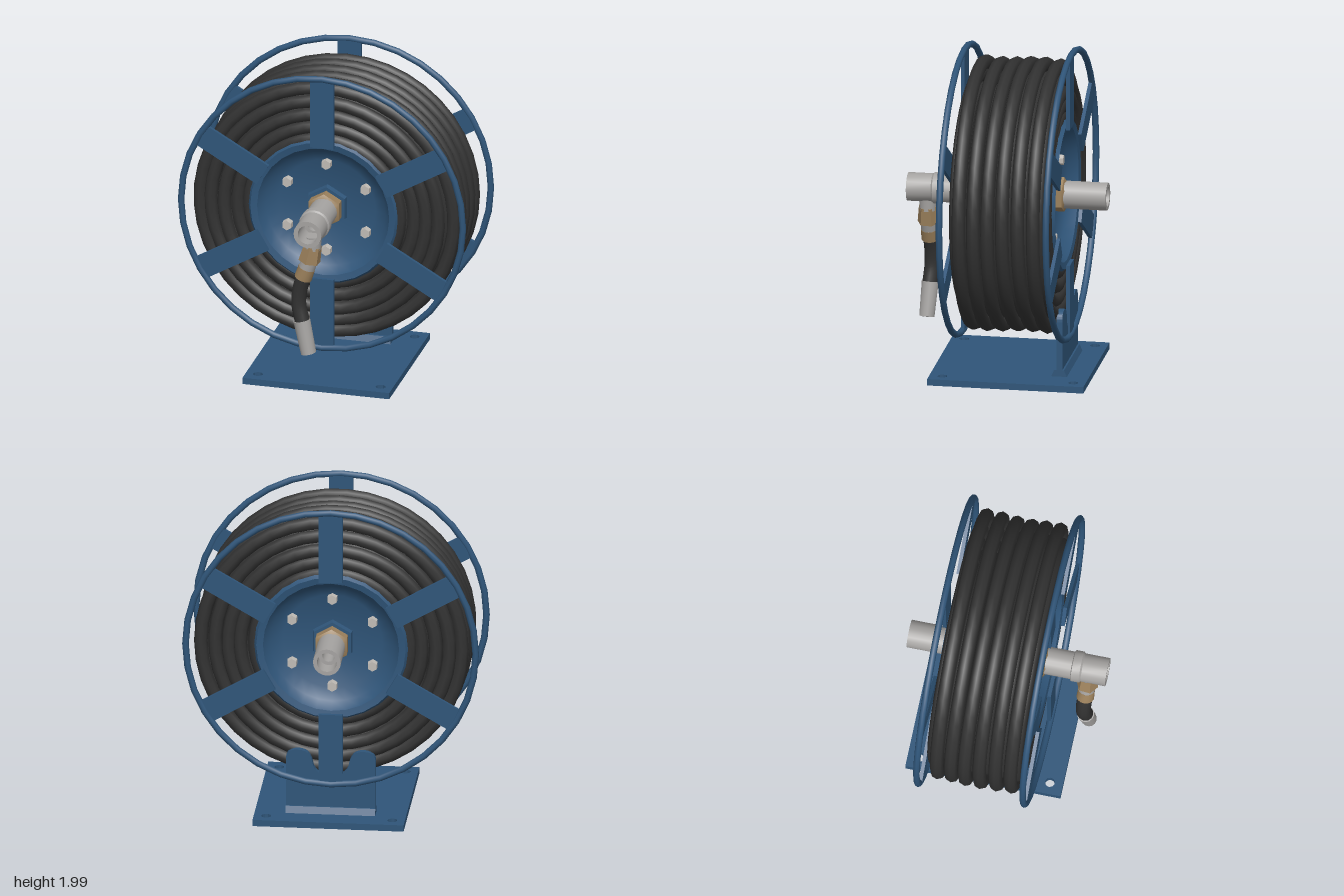
import * as THREE from 'three';
import { toCreasedNormals } from 'three/addons/utils/BufferGeometryUtils.js';

const AXLE_Y = 1.1, MID_Z = -0.06;

const mat = (name, color) => {
  const m = new THREE.MeshStandardMaterial({ color });
  m.name = name;
  return m;
};

export function createModel() {
  const blue = mat('blue paint', 0x2f5579);
  const rubber = mat('black rubber', 0x323232);
  const steel = mat('grey steel', 0xa5a3a1);
  const brass = mat('dull brass', 0x9c815c);
  const boltSteel = mat('light bolt steel', 0xc0bbb5);

  const model = new THREE.Group();
  model.name = 'hoseReel';
  const add = (parent, name, geo, material, x = 0, y = 0, z = 0) => {
    const mesh = new THREE.Mesh(geo, material);
    mesh.name = name;
    mesh.position.set(x, y, z);
    parent.add(mesh);
    return mesh;
  };
  // Solid of revolution about z, from [radius, z] pairs
  const turned = (profile, sides) => toCreasedNormals(
    new THREE.LatheGeometry(profile.map(([r, z]) => new THREE.Vector2(r, z)), sides).rotateX(Math.PI / 2), 0.6);
  // Capped rod between two points
  const rod = (parent, name, a, b, r0, r1, sides, material) => {
    const from = new THREE.Vector3(...a), to = new THREE.Vector3(...b);
    const dir = to.clone().sub(from);
    const geo = toCreasedNormals(new THREE.CylinderGeometry(r1, r0, dir.length(), sides), 0.6);
    const mesh = add(parent, name, geo, material);
    mesh.position.copy(from).add(to).multiplyScalar(0.5);
    mesh.quaternion.setFromUnitVectors(new THREE.Vector3(0, 1, 0), dir.normalize());
  };

  // Base plate with four bolt holes
  const plate = new THREE.Shape();
  plate.moveTo(-0.455, -0.41).lineTo(0.455, -0.41).lineTo(0.455, 0.54).lineTo(-0.455, 0.54).closePath();
  for (const x of [-0.38, 0.38]) for (const y of [-0.33, 0.465]) {
    plate.holes.push(new THREE.Path().absarc(x, y, 0.03, 0, Math.PI * 2, true));
  }
  const plateGeo = new THREE.ExtrudeGeometry(plate, { depth: 0.04, bevelEnabled: false, curveSegments: 5 });
  add(model, 'basePlate', plateGeo.rotateX(-Math.PI / 2), blue);

  // Upright bracket with two rounded tabs, and its weld
  const upright = new THREE.Shape();
  upright.moveTo(-0.27, 0.03).lineTo(0.27, 0.03).lineTo(0.27, 0.38);
  upright.quadraticCurveTo(0.27, 0.44, 0.2, 0.44).quadraticCurveTo(0.12, 0.44, 0.11, 0.36);
  upright.quadraticCurveTo(0.1, 0.28, 0, 0.28).quadraticCurveTo(-0.1, 0.28, -0.11, 0.36);
  upright.quadraticCurveTo(-0.12, 0.44, -0.2, 0.44).quadraticCurveTo(-0.27, 0.44, -0.27, 0.38);
  upright.closePath();
  add(model, 'uprightBracket',
    new THREE.ExtrudeGeometry(upright, { depth: 0.035, bevelEnabled: false, curveSegments: 6 }), blue, 0, 0, -0.38);
  const weld = new THREE.Shape();
  weld.moveTo(-0.05, 0.035).lineTo(0.05, 0.035).lineTo(0.03, 0.08).lineTo(-0.03, 0.08).closePath();
  const weldGeo = new THREE.ExtrudeGeometry(weld, { depth: 0.54, bevelEnabled: false });
  add(model, 'bracketWeld', weldGeo.translate(0, 0, -0.27).rotateY(Math.PI / 2), blue, 0, 0, -0.36);

  // Drum: barrel with a dished face on each side
  const reel = new THREE.Group();
  reel.name = 'reel';
  reel.position.set(0, AXLE_Y, 0);
  model.add(reel);
  const dish = [[0.07, 0.19], [0.3, 0.2], [0.37, 0.24], [0.41, 0.3], [0.45, 0.308], [0.47, 0.28], [0.45, 0.255], [0.42, 0.245]];
  const drumProfile = [
    ...dish.map(([r, z]) => [r, MID_Z - z]),
    ...dish.map(([r, z]) => [r, MID_Z + z]).reverse(),
  ];
  add(reel, 'drum', turned(drumProfile, 28), blue);

  // Side frames: rim, spokes, hub boss, brass nut and bolts
  for (const side of [1, -1]) {
    const frame = new THREE.Group();
    frame.name = side > 0 ? 'frontFrame' : 'backFrame';
    frame.position.z = MID_Z;
    if (side < 0) frame.rotation.y = Math.PI;
    reel.add(frame);
    add(frame, 'rim', new THREE.TorusGeometry(0.874, 0.02, 8, 36), blue, 0, 0, 0.325);
    add(frame, 'hubBoss', turned([[0.07, 0.18], [0.14, 0.18], [0.13, 0.225], [0.07, 0.225]], 6), blue);
    add(frame, 'brassNut', turned([[0.07, 0.22], [0.108, 0.22], [0.108, 0.285], [0.08, 0.3]], 6), brass);
    for (let i = 0; i < 6; i++) {
      const a = Math.PI / 2 + i * Math.PI / 3;
      const spoke = add(frame, 'spoke', new THREE.BoxGeometry(0.45, 0.145, 0.022), blue,
        0.65 * Math.cos(a), 0.65 * Math.sin(a), 0.32);
      spoke.rotation.z = a;
      const bolt = new THREE.CylinderGeometry(0.031, 0.034, 0.05, 6).toNonIndexed();
      bolt.computeVertexNormals();
      add(frame, 'bolt', bolt.rotateX(Math.PI / 2), boltSteel,
        0.28 * Math.cos(a), 0.28 * Math.sin(a), 0.215);
    }
  }

  // Wound hose: five layers of six slightly uneven coils
  const woundHose = new THREE.Group();
  woundHose.name = 'woundHose';
  woundHose.position.set(0, -0.012, MID_Z);
  reel.add(woundHose);
  for (let layer = 0; layer < 5; layer++) {
    const spread = layer === 0 ? 0.226 : 0.25;
    for (let i = 0; i < 6; i++) {
      const phase = layer * 2.1 + i * 1.3;
      const coil = add(woundHose, 'coil', new THREE.TorusGeometry(0.786 - layer * 0.08, 0.041, 8, 40), rubber,
        0.005 * Math.cos(phase), 0.005 * Math.sin(phase), spread * (i / 2.5 - 1));
      coil.rotation.set(0.006 * Math.sin(phase), 0.006 * Math.cos(phase), phase);
    }
  }

  // Hollow axle pipe with a collar at the tee
  add(reel, 'axlePipe', turned([
    [0.038, -0.5], [0.06, -0.5], [0.06, -0.61], [0.084, -0.61], [0.084, 0.39], [0.095, 0.395], [0.095, 0.445],
    [0.086, 0.455], [0.086, 0.605], [0.06, 0.605], [0.06, 0.45], [0.038, 0.45], [0.038, -0.5],
  ], 20), steel);

  // Outlet: tee branch, fittings, hose tail and end fitting
  const outlet = new THREE.Group();
  outlet.name = 'outlet';
  model.add(outlet);
  rod(outlet, 'teeBranch', [0, 1.05, 0.485], [0, 0.96, 0.485], 0.055, 0.05, 14, steel);
  rod(outlet, 'swivelNut', [0.002, 0.985, 0.485], [-0.02, 0.88, 0.484], 0.055, 0.068, 6, brass);
  rod(outlet, 'fittingNeck', [-0.018, 0.89, 0.484], [-0.04, 0.82, 0.482], 0.05, 0.05, 14, steel);
  rod(outlet, 'ferrule', [-0.036, 0.835, 0.482], [-0.06, 0.765, 0.48], 0.052, 0.054, 14, brass);
  const tail = new THREE.CatmullRomCurve3([
    [-0.05, 0.79, 0.481], [-0.08, 0.69, 0.475], [-0.088, 0.59, 0.475], [-0.062, 0.475, 0.485],
  ].map((p) => new THREE.Vector3(...p)));
  add(outlet, 'hoseTail', new THREE.TubeGeometry(tail, 14, 0.046, 12), rubber);
  rod(outlet, 'endFitting', [-0.068, 0.49, 0.483], [-0.022, 0.285, 0.495], 0.052, 0.047, 14, steel);
  rod(outlet, 'endOpening', [-0.03, 0.32, 0.493], [-0.021, 0.282, 0.495], 0.034, 0.034, 12, rubber);

  return model;
}
